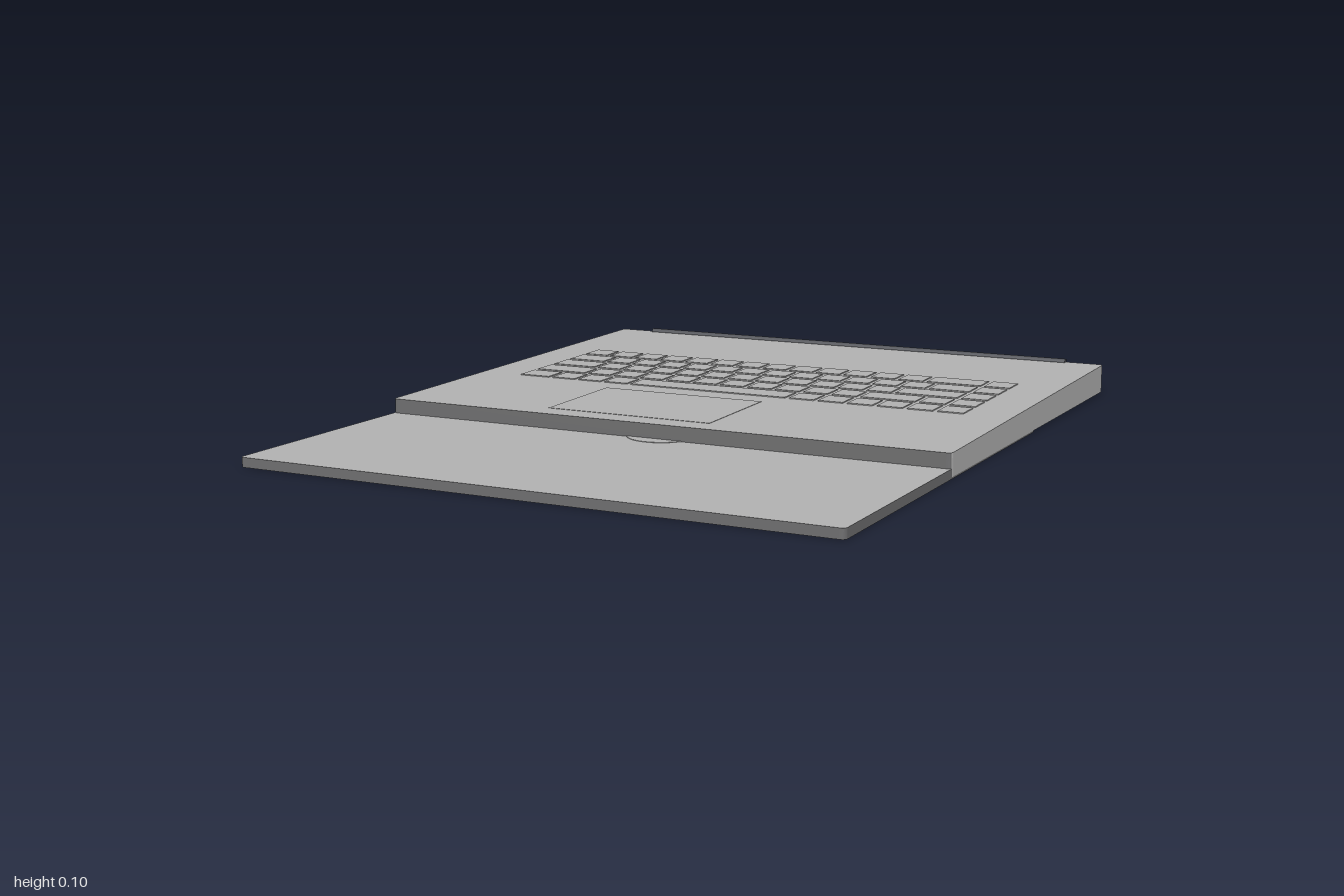
import * as THREE from 'three';

const material = (name, color) => new THREE.MeshStandardMaterial({ name, color });

// Height of the wedge-shaped body along its depth
const deckY = z => 0.066 + (0.335 - z) * 0.0155;

// Plate with rounded corners in plan; bottom and top heights follow rules of z
function plate(halfW, zBack, zFront, r, bottomY, topY) {
  const s = new THREE.Shape();
  const a = -zFront, b = -zBack;
  s.moveTo(-halfW + r, a);
  s.lineTo(halfW - r, a);
  s.quadraticCurveTo(halfW, a, halfW, a + r);
  s.lineTo(halfW, b - r);
  s.quadraticCurveTo(halfW, b, halfW - r, b);
  s.lineTo(-halfW + r, b);
  s.quadraticCurveTo(-halfW, b, -halfW, b - r);
  s.lineTo(-halfW, a + r);
  s.quadraticCurveTo(-halfW, a, -halfW + r, a);
  const g = new THREE.ExtrudeGeometry(s, { depth: 1, bevelEnabled: false, curveSegments: 5 });
  g.rotateX(-Math.PI / 2);
  const p = g.attributes.position;
  for (let i = 0; i < p.count; i++) {
    const z = p.getZ(i);
    p.setY(i, p.getY(i) > 0.5 ? topY(z) : bottomY(z));
  }
  g.computeVertexNormals();
  return g;
}

// Assign a material slot to every triangle from its facing direction
function paint(g, pick) {
  const n = g.attributes.normal;
  g.clearGroups();
  for (let i = 0; i < n.count; i += 3) g.addGroup(i, 3, pick(n.getY(i), n.getZ(i)));
  return g;
}

export function createModel() {
  const model = new THREE.Group();
  model.name = 'openLaptop';
  const silver = material('silver', 0xb0b0b0);
  const grey = material('dark grey', 0x6e6e6f);
  const charcoal = material('charcoal', 0x46484e);

  const add = (parent, name, geometry, mat, x = 0, y = 0, z = 0) => {
    const m = new THREE.Mesh(geometry, mat);
    m.name = name;
    m.position.set(x, y, z);
    parent.add(m);
    return m;
  };

  // Wedge body: silver deck, sides and back; grey front and underside
  const body = paint(plate(0.825, -0.994, 0.337, 0.014, () => 0.005, deckY),
    (ny, nz) => (ny < -0.5 || nz > 0.5 ? 1 : 0));
  add(model, 'body', body, [silver, grey]);

  // Flat lid lying under the body, with a grey rim
  const lid = paint(plate(0.824, -0.33, 1, 0.014, () => 0, () => 0.026),
    ny => (Math.abs(ny) > 0.5 ? 0 : 1));
  add(model, 'lid', lid, [silver, grey]);

  // Shallow thumb pad at the front edge of the body
  add(model, 'thumbPad', new THREE.CylinderGeometry(0.095, 0.095, 0.002, 32), silver, 0, 0.0265, 0.288);

  // Hinge bar along the rear edge
  const hinge = add(model, 'hinge', new THREE.CylinderGeometry(0.011, 0.011, 1.42, 16), charcoal, 0, 0.086, -0.989);
  hinge.rotation.z = Math.PI / 2;

  // Parts lying on the sloping deck
  const deck = new THREE.Group();
  deck.name = 'deckParts';
  deck.position.y = deckY(0);
  deck.rotation.x = Math.atan(0.0155);
  model.add(deck);

  add(deck, 'touchpad', new THREE.BoxGeometry(0.49, 0.002, 0.32), silver, -0.115, 0, 0.11);

  // Keyboard rows given as key widths in units
  const ones = n => Array(n).fill(1);
  const rows = [
    [...ones(13), 2, 1],
    [1.5, ...ones(12), 1.5, 1],
    [1.75, ...ones(11), 2.25, 1],
    [2, ...ones(10), 2, 1, 1],
    [1.25, ...ones(3), 5.75, ...ones(6)],
  ];
  const unit = 0.0873, gap = 0.014;
  const keyboard = new THREE.Group();
  keyboard.name = 'keyboard';
  deck.add(keyboard);
  rows.forEach((row, r) => {
    let x = -0.6985;
    for (const w of row) {
      const width = w * unit;
      add(keyboard, 'key', new THREE.BoxGeometry(width - gap, 0.006, 0.077), silver,
        x + width / 2, 0, -0.546 + r * 0.0965);
      x += width;
    }
  });
  return model;
}
